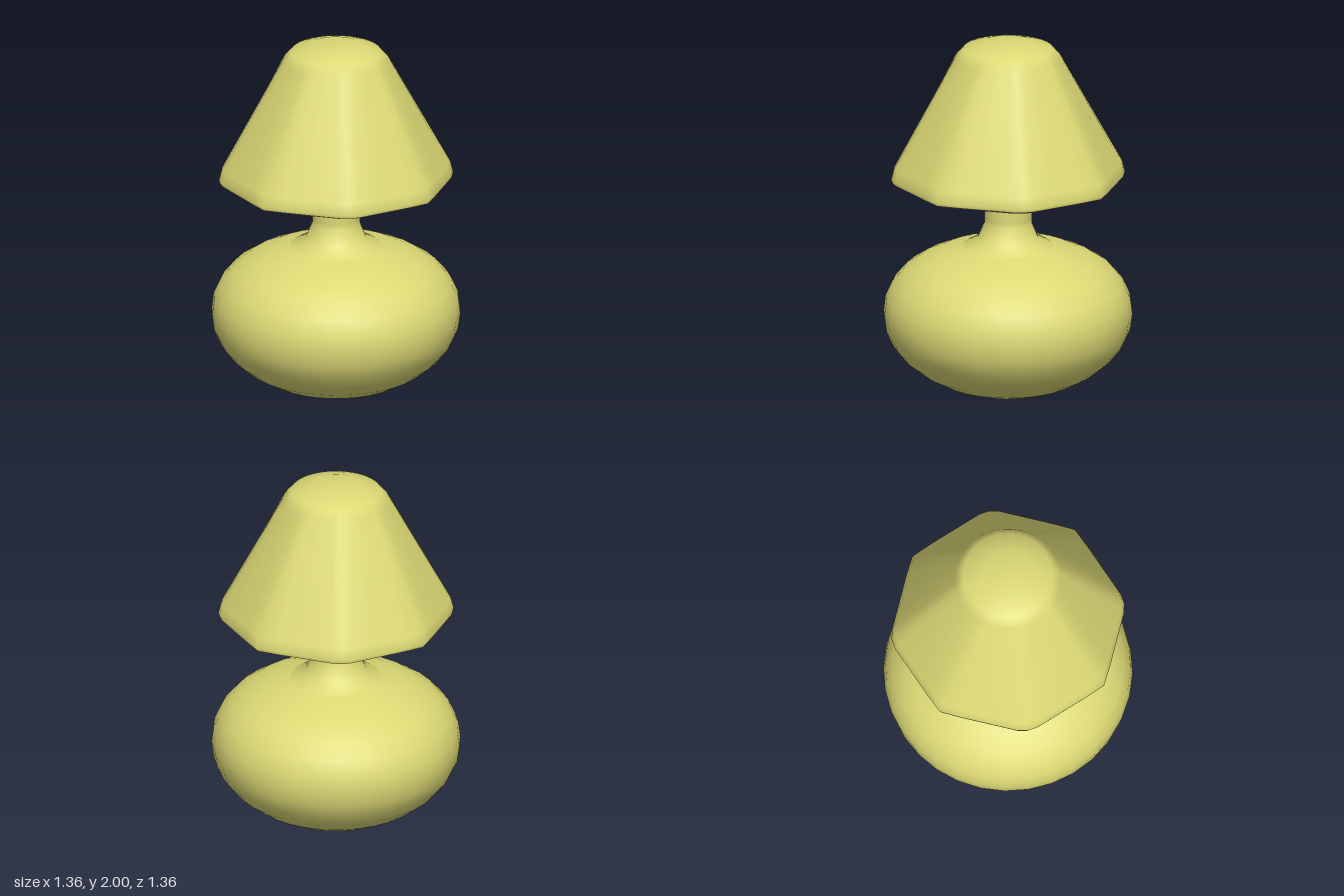
import * as THREE from 'three';

const yellow = new THREE.MeshStandardMaterial({ color: 0xdcd975 });
const grey = new THREE.MeshStandardMaterial({ color: 0xcccccc });

function addMesh(group, name, geometry, material) {
  const mesh = new THREE.Mesh(geometry, material);
  mesh.name = name;
  group.add(mesh);
}

function lathe(points, segments = 32) {
  return new THREE.LatheGeometry(points.map(([r, y]) => new THREE.Vector2(r, y)), segments);
}

// Angles round the shade, denser at the diagonal corners
const ANGLES = [];
for (let q = 0; q < 4; q++) {
  for (const a of [0, 10, 20, 30, 40, 45, 50, 60, 70, 80]) ANGLES.push(q * 90 + a);
}

// Outline radius of an octagon whose diagonal corners are slightly cut
function octagonRadius(deg) {
  const q = deg % 90;
  const a = Math.min(q, 90 - q);
  return Math.min(0.64, 0.6 / Math.cos(THREE.MathUtils.degToRad(a - 21.5))) / 0.64;
}

// Skin over rings of [radius, y, octagon share], listed bottom to top
function ringSkin(rings) {
  const positions = [], index = [], n = ANGLES.length;
  for (const [r, y, oct] of rings) {
    for (const deg of ANGLES) {
      const t = THREE.MathUtils.degToRad(deg);
      const d = r * THREE.MathUtils.lerp(1, octagonRadius(deg), oct);
      positions.push(d * Math.sin(t), y, d * Math.cos(t));
    }
  }
  for (let i = 0; i < rings.length - 1; i++) {
    for (let j = 0; j < n; j++) {
      const k = (j + 1) % n;
      const a = i * n + j, b = i * n + k, c = a + n, d = b + n;
      index.push(a, b, d, a, d, c);
    }
  }
  const geometry = new THREE.BufferGeometry();
  geometry.setAttribute('position', new THREE.Float32BufferAttribute(positions, 3));
  geometry.setIndex(index);
  geometry.computeVertexNormals();
  return geometry;
}

export function createModel() {
  const lamp = new THREE.Group();
  lamp.name = 'tableLamp';

  // Squashed round base
  addMesh(lamp, 'base', lathe([
    [0, 0], [0.13, 0.01], [0.25, 0.037], [0.375, 0.082], [0.48, 0.14], [0.567, 0.21],
    [0.63, 0.287], [0.668, 0.37], [0.68, 0.46], [0.669, 0.545], [0.632, 0.625],
    [0.567, 0.7], [0.48, 0.757], [0.375, 0.803], [0.25, 0.838],
  ]), yellow);

  // Flared neck rising into the shade
  addMesh(lamp, 'neck', lathe([
    [0.25, 0.838], [0.165, 0.885], [0.13, 0.97], [0.13, 1.0], [0.13, 1.21],
  ]), yellow);

  // Shade: octagonal at the rim, round at the crown
  addMesh(lamp, 'shade', ringSkin([
    [0.637, 1.22, 1], [0.643, 1.24, 1], [0.627, 1.3, 1], [0.29, 1.915, 0],
    [0.245, 1.965, 0], [0.135, 1.998, 0], [0.0001, 2, 0],
  ]), yellow);

  // Closed underside with a bevelled edge
  addMesh(lamp, 'shadeUnderside', ringSkin([
    [0.0001, 1.2, 1], [0.54, 1.2, 1], [0.585, 1.2, 1], [0.637, 1.22, 1],
  ]), grey);

  return lamp;
}
